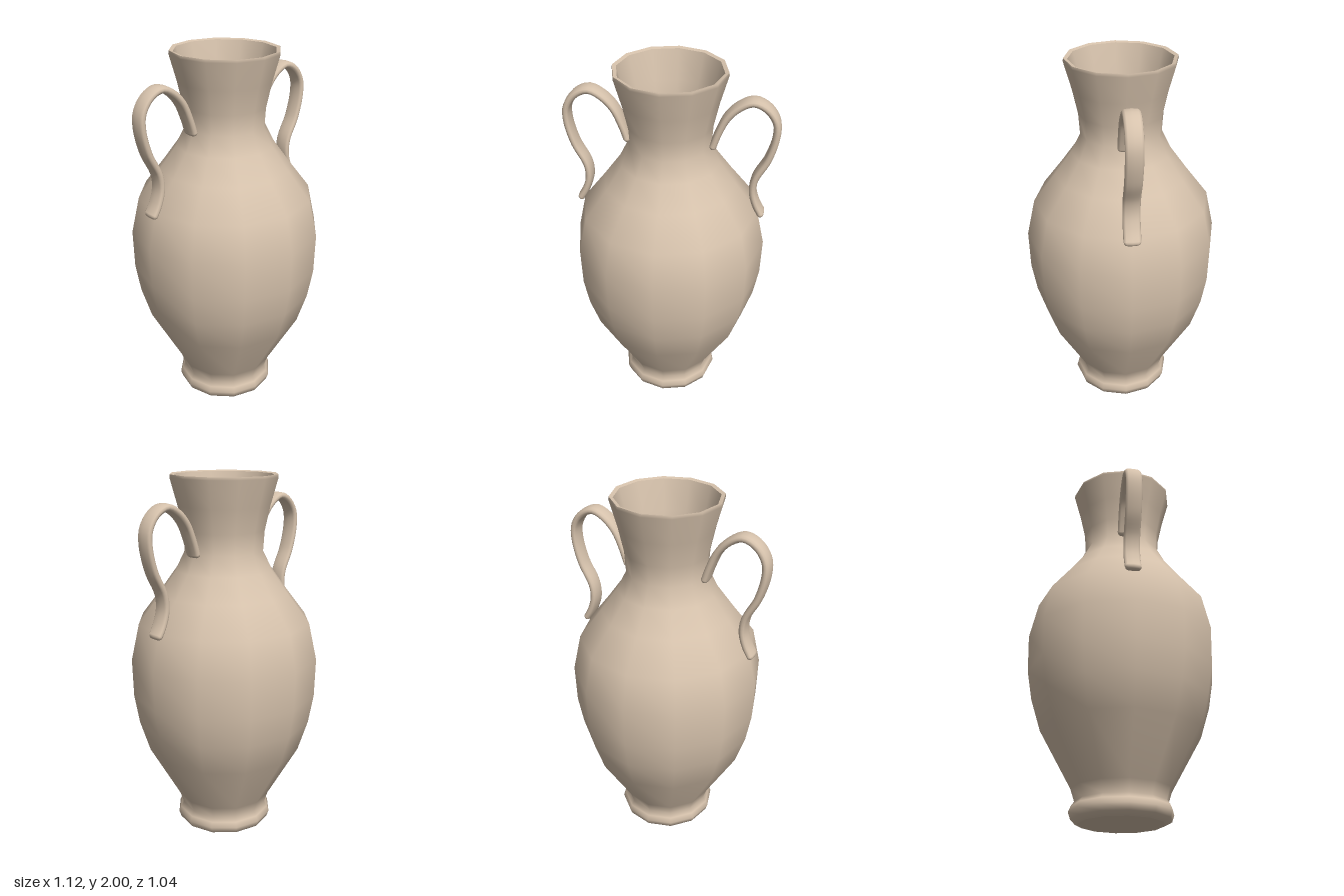
import * as THREE from 'three';
import { mergeVertices } from 'three/addons/utils/BufferGeometryUtils.js';

const SIDES = 12;
const points = (list) => list.map(([r, y]) => new THREE.Vector2(r, y));

// Widen a round section along z into a soft flat strap
function flatten(geometry, radius, halfWidth) {
  const p = geometry.attributes.position;
  for (let i = 0; i < p.count; i++) {
    const t = Math.min(1, Math.abs(p.getZ(i)) / radius);
    p.setZ(i, t < 1e-4 ? 0 : Math.sign(p.getZ(i)) * halfWidth * Math.sqrt(t));
  }
  geometry.deleteAttribute('uv');
  geometry.deleteAttribute('normal');
  const merged = mergeVertices(geometry, 1e-5);
  merged.computeVertexNormals();
  return merged;
}

export function createModel() {
  const model = new THREE.Group();
  model.name = 'vase';
  const clay = new THREE.MeshStandardMaterial({ color: 0xd6c2ac });
  clay.name = 'clay';

  const add = (name, geometry, parent = model) => {
    const mesh = new THREE.Mesh(geometry, clay);
    mesh.name = name;
    parent.add(mesh);
    return mesh;
  };

  // Outer wall, from the foot up to the lip
  add('body', new THREE.LatheGeometry(points([
    [0.225, 0], [0.262, 0.02], [0.274, 0.055], [0.262, 0.085], [0.244, 0.11],
    [0.265, 0.175], [0.434, 0.476], [0.488, 0.65], [0.515, 0.81], [0.52, 1.02],
    [0.475, 1.22], [0.355, 1.376], [0.265, 1.5], [0.215, 1.6], [0.222, 1.71],
    [0.25, 1.84], [0.29, 1.985], [0.288, 2],
  ]), SIDES));

  // Lip and hollow inside
  add('rim', new THREE.LatheGeometry(points([[0.288, 2], [0.268, 1.995]]), SIDES));
  add('innerWall', new THREE.LatheGeometry(points([
    [0.268, 1.995], [0.228, 1.84], [0.202, 1.71], [0.196, 1.6], [0.245, 1.49],
    [0.335, 1.366], [0.452, 1.21], [0.497, 1.02], [0.492, 0.81], [0.465, 0.65],
    [0.412, 0.476], [0.245, 0.185], [0.195, 0.11],
  ]), SIDES));

  // Flat discs: inside floor and underside
  const floor = add('innerFloor', new THREE.CircleGeometry(0.195, SIDES));
  floor.rotation.x = -Math.PI / 2;
  floor.position.y = 0.11;
  const base = add('underside', new THREE.CircleGeometry(0.225, SIDES));
  base.rotation.x = Math.PI / 2;

  // Strap handles, looping from the neck to the shoulder
  const path = [
    [0.225, 1.605], [0.245, 1.667], [0.29, 1.767], [0.35, 1.83], [0.418, 1.86],
    [0.487, 1.83], [0.534, 1.762], [0.54, 1.683], [0.508, 1.55], [0.45, 1.43],
    [0.442, 1.35], [0.465, 1.27], [0.492, 1.22],
  ];
  const radius = 0.02;
  for (const side of [1, -1]) {
    const handle = new THREE.Group();
    handle.name = side > 0 ? 'leftHandle' : 'rightHandle';
    handle.position.z = side > 0 ? 0 : -0.01;
    const curve = new THREE.CatmullRomCurve3(
      path.map(([x, y]) => new THREE.Vector3(side * x, y, 0)));
    add('strap', flatten(new THREE.TubeGeometry(curve, 48, radius, 12), radius, 0.045), handle);
    // Rounded ends
    for (const [x, y] of [path[0], path[path.length - 1]]) {
      const end = add('strapEnd', flatten(new THREE.SphereGeometry(radius, 12, 8), radius, 0.044), handle);
      end.position.set(side * x, y, 0);
    }
    model.add(handle);
  }
  return model;
}
